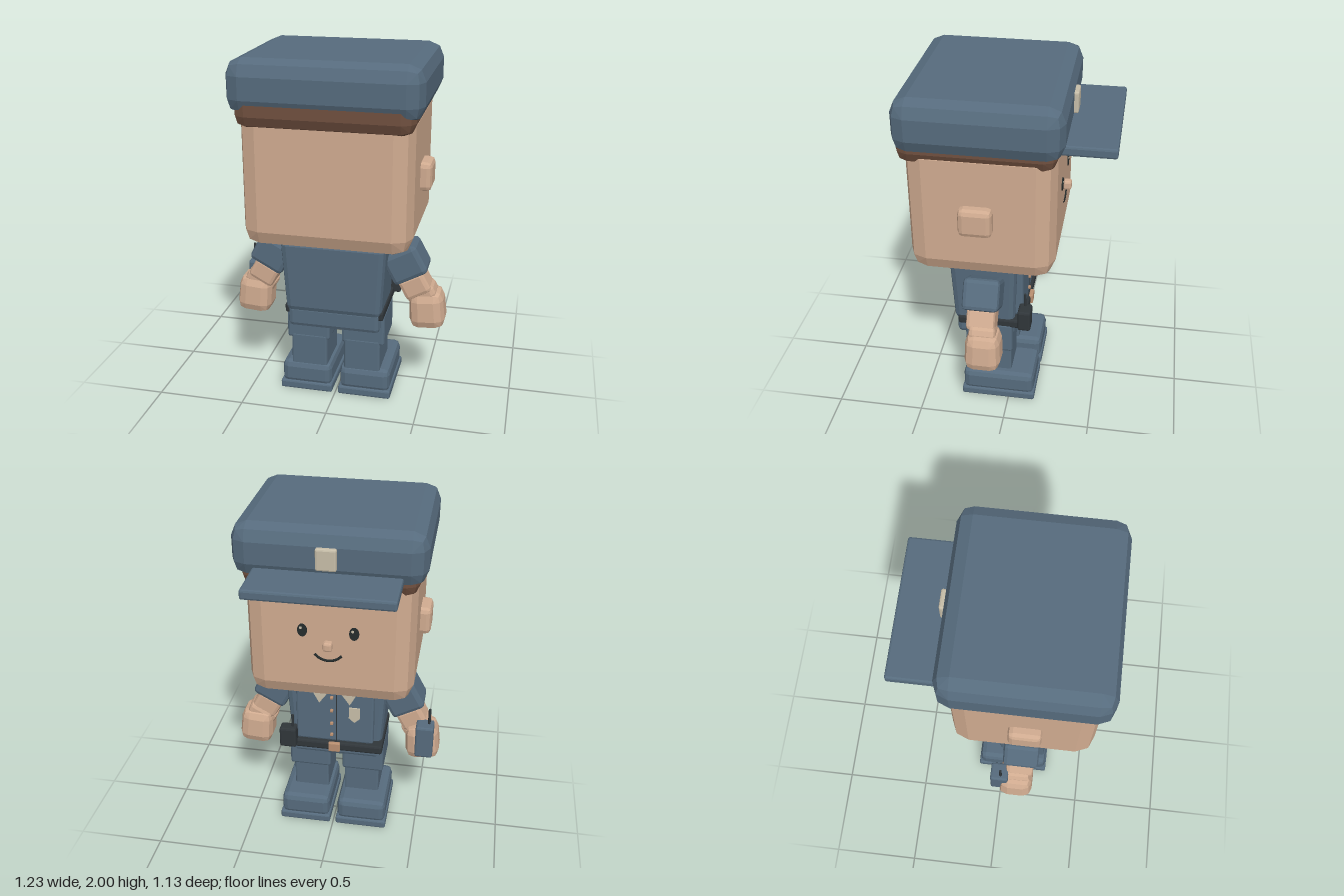
import * as THREE from 'three';
import { ConvexGeometry } from 'three/addons/geometries/ConvexGeometry.js';

const mat = (name, color) => Object.assign(new THREE.MeshStandardMaterial({ color }), { name });

// Faceted box with softened edges; r is the edge radius, taper the bottom/top scale in x and z
function softBox(w, h, d, r, { bottom = 1, top = 1 } = {}) {
  const a = Math.SQRT1_2, c = 1 / Math.sqrt(3);
  const dirs = [[1, 0, 0], [0, 1, 0], [0, 0, 1], [a, a, 0], [a, 0, a], [0, a, a], [c, c, c]];
  const pts = [];
  for (const sx of [-1, 1]) for (const sy of [-1, 1]) for (const sz of [-1, 1])
    for (const [x, y, z] of dirs) {
      const py = sy * (h / 2 - r + r * y);
      const k = THREE.MathUtils.lerp(bottom, top, py / h + 0.5);
      pts.push(new THREE.Vector3(sx * (w / 2 - r + r * x) * k, py, sz * (d / 2 - r + r * z) * k));
    }
  return new ConvexGeometry(pts);
}

export function createModel() {
  const model = new THREE.Group();
  model.name = 'officer';
  const blue = mat('uniformBlue', 0x566b7d);
  const skin = mat('skin', 0xd0ab90);
  const brown = mat('hairBrown', 0x70503f);
  const dark = mat('beltBlack', 0x30363a);
  const cream = mat('badgeCream', 0xc6bda8);
  const brass = mat('brass', 0xb98f70);
  const ink = mat('faceInk', 0x252c2c);

  function add(name, geometry, material, x = 0, y = 0, z = 0, rotZ = 0) {
    const m = new THREE.Mesh(geometry, material);
    m.name = name;
    m.position.set(x, y, z);
    m.rotation.z = rotZ;
    model.add(m);
    return m;
  }
  // Box given by its extents
  const box = (name, material, [x0, x1], [y0, y1], [z0, z1], r, taper) =>
    add(name, softBox(x1 - x0, y1 - y0, z1 - z0, r, taper), material,
      (x0 + x1) / 2, (y0 + y1) / 2, (z0 + z1) / 2);
  // Thin plate with its outer face towards -z
  const plate = (name, material, corners, z) =>
    add(name, new THREE.ExtrudeGeometry(new THREE.Shape(corners.map(p => new THREE.Vector2(...p))),
      { depth: 0.009, bevelEnabled: false }), material, 0, 0, z);

  // Head, hair and cap (the face looks towards -z)
  box('head', skin, [-0.46, 0.46], [0.98, 1.78], [-0.27, 0.52], 0.1);
  box('hair', brown, [-0.47, 0.47], [1.64, 1.86], [-0.275, 0.555], 0.07);
  box('capCrown', blue, [-0.51, 0.51], [1.71, 2], [-0.31, 0.565], 0.085);
  box('capVisor', blue, [-0.39, 0.39], [1.72, 1.775], [-0.565, -0.2], 0.012);
  box('capBadge', cream, [-0.055, 0.055], [1.795, 1.915], [-0.335, -0.295], 0.01);
  box('neck', skin, [-0.12, 0.12], [0.93, 1.01], [0.03, 0.25], 0.015);
  box('nose', skin, [-0.025, 0.025], [1.315, 1.367], [-0.31, -0.26], 0.012);
  const smile = new THREE.CatmullRomCurve3([[-0.075, 1.28], [-0.045, 1.255], [0, 1.243], [0.045, 1.255], [0.075, 1.28]]
    .map(([x, y]) => new THREE.Vector3(x, y, -0.27)));
  add('mouth', new THREE.TubeGeometry(smile, 16, 0.008, 6), ink);

  // Torso, jacket front and belt
  box('torso', blue, [-0.3, 0.3], [0.53, 0.97], [-0.045, 0.34], 0.035, { bottom: 0.91 });
  box('jacketFront', blue, [-0.23, 0.23], [0.57, 0.94], [-0.075, 0], 0.012);
  box('hips', blue, [-0.265, 0.265], [0.43, 0.56], [-0.025, 0.31], 0.025);
  box('belt', dark, [-0.285, 0.285], [0.51, 0.565], [-0.09, 0.3], 0.012);
  box('buckle', brass, [-0.035, 0.035], [0.51, 0.57], [-0.105, -0.08], 0.006);
  plate('placketLine', dark, [[-0.014, 0.57], [-0.008, 0.57], [-0.008, 0.92], [-0.014, 0.92]], -0.077);
  for (const y of [0.88, 0.79, 0.7, 0.62])
    box('button', brass, [0.008, 0.026], [y - 0.009, y + 0.009], [-0.09, -0.07], 0.004);
  plate('chestBadge', cream, [[-0.085, 0.82], [-0.15, 0.82], [-0.15, 0.75], [-0.118, 0.72], [-0.085, 0.75]], -0.084);

  // Belt radio and hand radio
  box('beltRadio', dark, [0.225, 0.325], [0.53, 0.66], [-0.13, -0.055], 0.012);
  add('beltRadioAntenna', new THREE.CylinderGeometry(0.008, 0.008, 0.1, 8), dark, 0.25, 0.69, -0.09);
  box('handRadio', blue, [-0.58, -0.475], [0.49, 0.7], [-0.045, 0.06], 0.012);
  add('handRadioAntenna', new THREE.CylinderGeometry(0.008, 0.008, 0.13, 8), dark, -0.55, 0.735, 0.015);

  for (const s of [-1, 1]) {
    const span = (a, b) => (s > 0 ? [a, b] : [-b, -a]);

    // Ears and eyes
    box('ear', skin, span(0.42, 0.52), [1.27, 1.43], [0.05, 0.23], 0.028);
    const eye = add('eye', new THREE.CylinderGeometry(0.027, 0.027, 0.008, 16), ink, s * 0.14, 1.42, -0.272);
    eye.rotation.x = Math.PI / 2;
    eye.scale.z = 1.4;
    const glint = add('eyeGlint', new THREE.CylinderGeometry(0.008, 0.008, 0.006, 8), cream, s * 0.14 + 0.008, 1.435, -0.275);
    glint.rotation.x = Math.PI / 2;

    // Collar
    plate('collar', cream, [[s * 0.03, 0.925], [s * 0.135, 0.925], [s * 0.09, 0.84]], -0.084);

    // Arms slope outwards
    const tilt = s * 0.5;
    add('sleeve', softBox(0.21, 0.18, 0.205, 0.025), blue, s * 0.385, 0.825, 0.125, tilt);
    add('forearm', softBox(0.155, 0.13, 0.16, 0.022), skin, s * 0.44, 0.695, 0.123, tilt);
    add('fist', softBox(0.205, 0.225, 0.205, 0.055, { top: 0.92 }), skin, s * 0.51, 0.542, 0.105, s * 0.08);
    add('thumb', softBox(0.08, 0.13, 0.1, 0.025), skin, s * 0.44, 0.59, 0.1, s * 0.55);
    add('wrist', softBox(0.15, 0.08, 0.15, 0.025), skin, s * 0.485, 0.635, 0.11, tilt);

    // Legs and boots
    box('thigh', blue, span(0.035, 0.287), [0.33, 0.53], [-0.02, 0.258], 0.015);
    box('shin', blue, span(0.05, 0.262), [0.13, 0.36], [-0.01, 0.26], 0.012);
    box('boot', blue, span(0.025, 0.32), [0.03, 0.175], [-0.15, 0.275], 0.035);
    box('sole', blue, span(0.018, 0.327), [0, 0.05], [-0.157, 0.282], 0.01);
  }
  return model;
}
